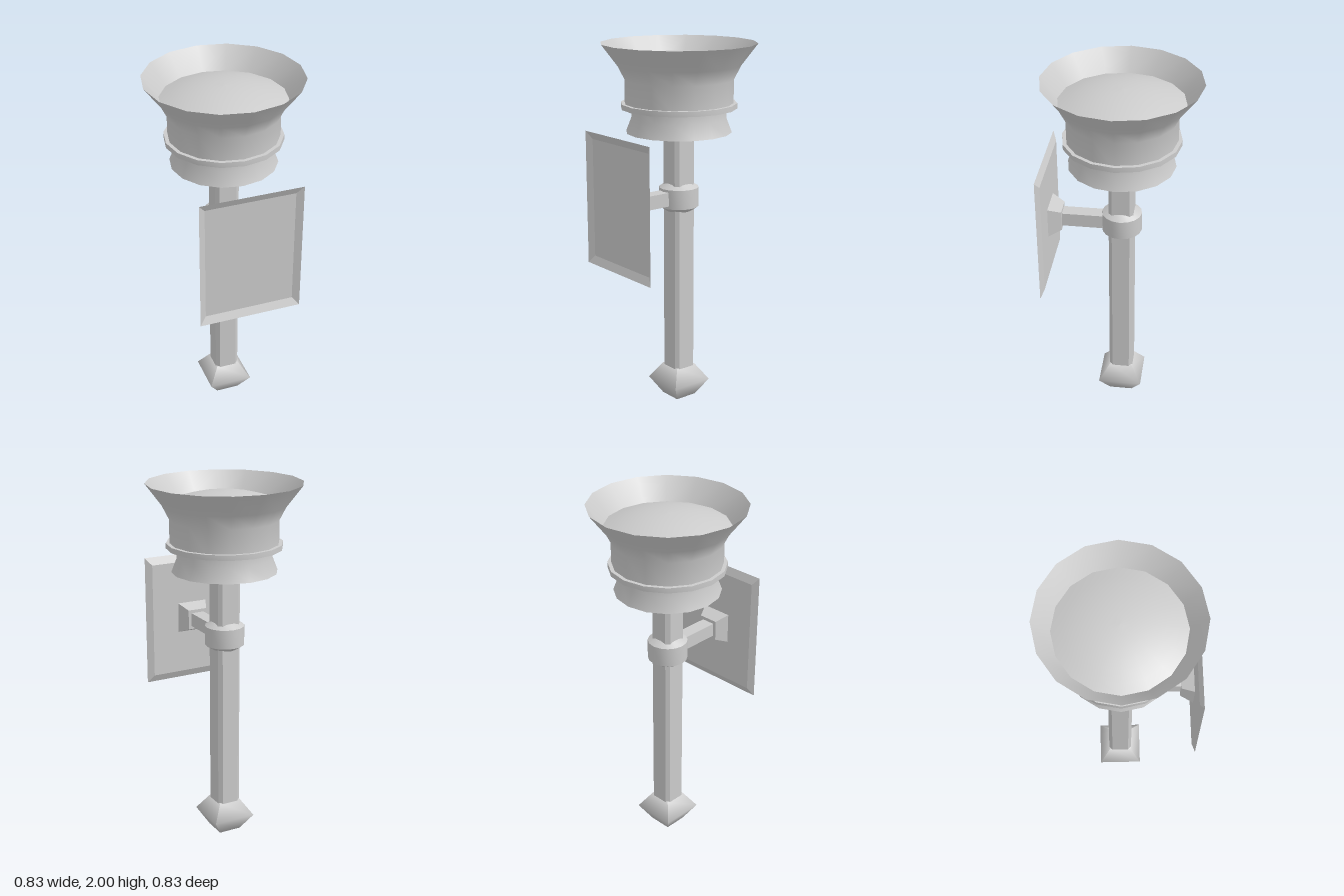
import * as THREE from 'three';
import { toCreasedNormals } from 'three/addons/utils/BufferGeometryUtils.js';

const grey = new THREE.MeshStandardMaterial({ color: 0xcccccc, side: THREE.DoubleSide });

// Surface of revolution from [radius, y] pairs, listed bottom to top
function lathe(points, sides, crease) {
  const geo = new THREE.LatheGeometry(points.map(([r, y]) => new THREE.Vector2(r, y)), sides);
  return crease ? toCreasedNormals(geo, crease) : geo;
}

// Box along z whose back and front rectangles differ in size
function taperedBox([backW, backH, backZ], [frontW, frontH, frontZ], y) {
  const geo = new THREE.BoxGeometry(2, 2, 2).toNonIndexed();
  const p = geo.attributes.position;
  for (let i = 0; i < p.count; i++) {
    const front = p.getZ(i) > 0;
    p.setXYZ(i,
      p.getX(i) * (front ? frontW : backW),
      y + p.getY(i) * (front ? frontH : backH),
      front ? frontZ : backZ);
  }
  geo.computeVertexNormals();
  return geo;
}

export function createModel() {
  const group = new THREE.Group();
  const add = (name, geo) => {
    const mesh = new THREE.Mesh(geo, grey);
    mesh.name = name;
    group.add(mesh);
    return mesh;
  };

  // Flared bowl, open at the top
  add('bowl', lathe([[0.292, 1.67], [0.292, 1.81], [0.33, 1.885], [0.417, 2]], 16));

  // Shallow dome of fuel filling the bowl
  const dome = [];
  for (let i = 0; i <= 6; i++) {
    const t = 1 - i / 6;
    dome.push([0.33 * t, 1.885 + 0.07 * (1 - t * t)]);
  }
  add('fuelDome', lathe(dome, 16));

  // Band under the bowl
  add('bowlBand', lathe([[0.25, 1.657], [0.312, 1.657], [0.312, 1.685], [0.288, 1.685]], 16, 0.7));

  // Waisted base with a closed underside
  add('bowlBase', lathe([[0, 1.528], [0.285, 1.528], [0.255, 1.605], [0.255, 1.66]], 16, 0.7));

  // Chamfered square pole
  const a = 0.067, b = 0.048;
  const section = new THREE.Shape(
    [[a, -b], [a, b], [b, a], [-b, a], [-a, b], [-a, -b], [-b, -a], [b, -a]]
      .map(([x, y]) => new THREE.Vector2(x, y)));
  add('pole', new THREE.ExtrudeGeometry(section, { depth: 1.37, bevelEnabled: false })
    .rotateX(-Math.PI / 2).translate(0, 0.16, 0));

  // Four-sided finial, its faces turned to the axes
  const d = Math.SQRT2;
  add('finial', lathe([[0, 0], [0.064 * d, 0], [0.122 * d, 0.095], [0.064 * d, 0.185], [0, 0.185]], 4, 1.18)
    .rotateY(Math.PI / 4));

  // Collar clasping the pole
  add('collar', lathe(
    [[0.05, 1.093], [0.07, 1.093], [0.108, 1.118], [0.108, 1.224], [0.07, 1.247], [0.05, 1.247]], 16, 0.5));

  // Arm and flared foot reaching the wall plate
  add('arm', taperedBox([0.038, 0.038, 0.09], [0.038, 0.038, 0.33], 1.172));
  add('armFoot', taperedBox([0.056, 0.056, 0.323], [0.087, 0.085, 0.392], 1.172));

  // Wall plate: a shallow tray, open towards the wall
  const plate = taperedBox([0.244, 0.325, 0.393], [0.28, 0.367, 0.413], 1.172);
  const keep = new THREE.BufferGeometry();
  for (const key of ['position', 'normal']) {
    // Drop the front face, vertices 24 to 29
    const v = Array.from(plate.attributes[key].array);
    v.splice(24 * 3, 6 * 3);
    keep.setAttribute(key, new THREE.Float32BufferAttribute(v, 3));
  }
  add('wallPlate', keep);

  return group;
}
